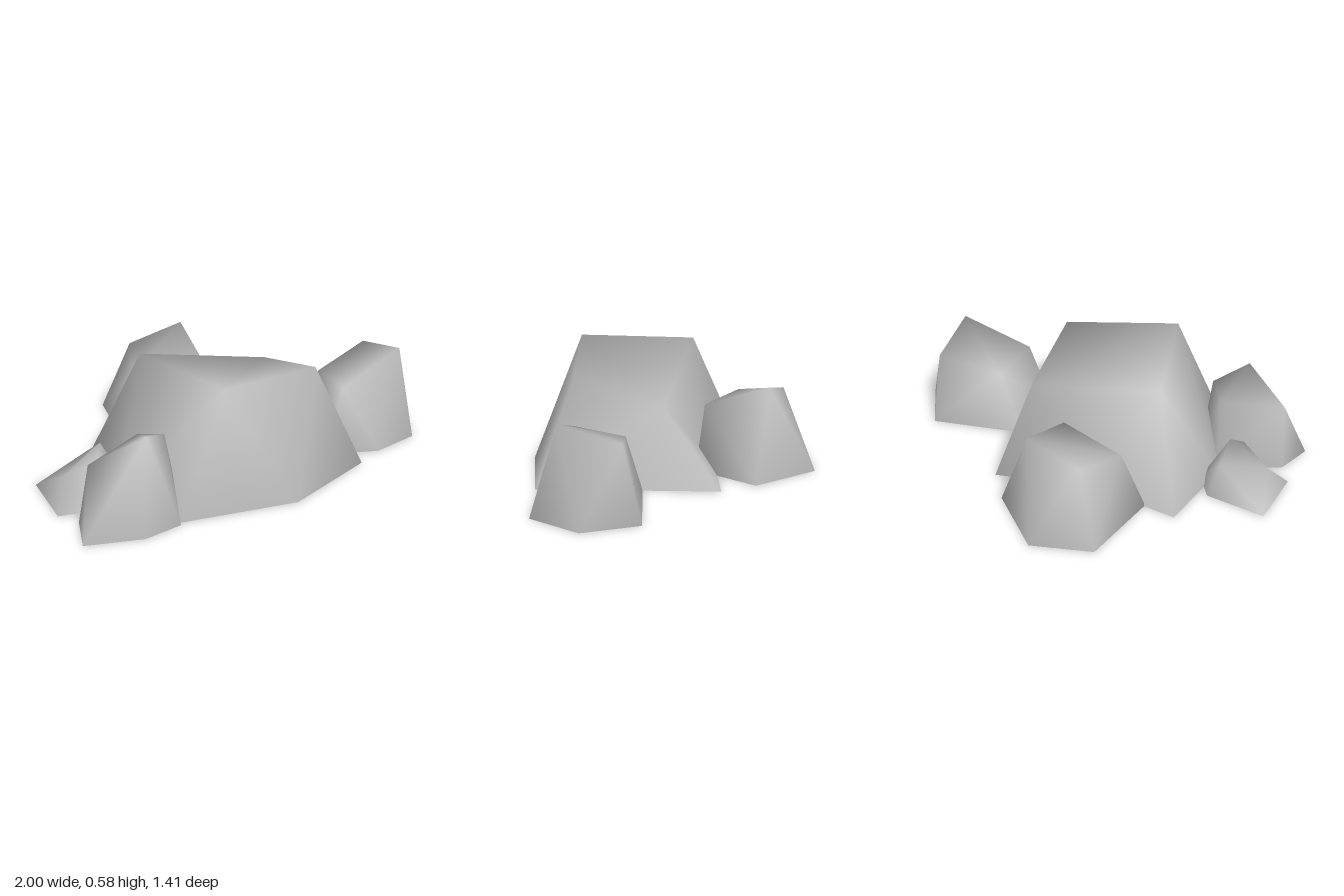
import * as THREE from 'three';

// Each boulder: ground outline [x, z] and top corners [x, y, z].
// The first top corner is where the crown's facets meet.
const ROCKS = {
  mainBoulder: {
    base: [[-0.57, -0.25], [-0.1, -0.19], [0.36, -0.3], [0.48, 0.57], [0.01, 0.705], [-0.55, 0.57], [-0.65, 0.17]],
    top: [[-0.28, 0.58, 0.52], [-0.4, 0.56, -0.04], [0.29, 0.38, -0.01], [0.29, 0.505, 0.42]],
  },
  leftBoulder: {
    base: [[0.4, 0.07], [0.86, -0.02], [0.995, 0.23], [0.86, 0.49], [0.62, 0.52], [0.38, 0.41]],
    top: [[0.85, 0.44, 0.355], [0.49, 0.325, 0.38], [0.53, 0.3, 0.12], [0.85, 0.365, 0.065]],
  },
  backBoulder: {
    base: [[-0.32, -0.63], [-0.02, -0.71], [0.25, -0.45], [0.07, -0.13], [-0.41, -0.22]],
    top: [[0.08, 0.44, -0.49], [0.04, 0.33, -0.17], [-0.31, 0.32, -0.29], [-0.2, 0.37, -0.53]],
  },
  rightFrontBoulder: {
    base: [[-0.93, 0.33], [-0.63, 0.21], [-0.47, 0.44], [-0.55, 0.59], [-0.74, 0.605], [-1, 0.51]],
    top: [[-0.67, 0.45, 0.51], [-0.9, 0.32, 0.39], [-0.6, 0.34, 0.29], [-0.52, 0.37, 0.4]],
  },
  rightPebble: {
    base: [[-0.96, -0.07], [-0.66, -0.03], [-0.58, 0.1], [-0.7, 0.27], [-0.82, 0.28], [-0.99, 0.235]],
    top: [[-0.71, 0.25, 0.13], [-0.76, 0.2, 0.2], [-0.91, 0.13, 0.13], [-0.7, 0.17, 0.02]],
  },
};

// Stitches the ground ring to the top ring by angle, then fans the crown.
function rockGeometry({ base, top }) {
  const cx = top.reduce((s, p) => s + p[0], 0) / top.length;
  const cz = top.reduce((s, p) => s + p[2], 0) / top.length;
  const points = [...base.map(([x, z]) => [x, 0, z]), ...top];
  const angle = (k) => Math.atan2(points[k][2] - cz, points[k][0] - cx);
  const ring = (start, count) =>
    Array.from({ length: count }, (_, k) => start + k).sort((a, b) => angle(a) - angle(b));
  const lower = ring(0, base.length);
  const upper = ring(base.length, top.length);
  const at = (r, k) => r[k % r.length];
  const unwrapped = (r, k) => angle(at(r, k)) + 2 * Math.PI * Math.floor(k / r.length);
  const middle = (r, k) => unwrapped(r, k) + unwrapped(r, k + 1);

  const index = [];
  let i = 0, j = 0;
  while (i < lower.length || j < upper.length) {
    const stepLower = j >= upper.length || (i < lower.length && middle(lower, i) < middle(upper, j));
    if (stepLower) {
      index.push(at(lower, i), at(upper, j), at(lower, i + 1));
      i++;
    } else {
      index.push(at(lower, i), at(upper, j), at(upper, j + 1));
      j++;
    }
  }
  const first = upper.indexOf(base.length);
  for (let k = 1; k < upper.length - 1; k++) {
    index.push(at(upper, first), at(upper, first + k + 1), at(upper, first + k));
  }

  const geometry = new THREE.BufferGeometry();
  geometry.setAttribute('position', new THREE.Float32BufferAttribute(points.flat(), 3));
  geometry.setIndex(index);
  geometry.computeVertexNormals();
  return geometry;
}

export function createModel() {
  const group = new THREE.Group();
  group.name = 'boulderCluster';
  // Open underneath, so both sides show
  const stone = new THREE.MeshStandardMaterial({ color: 0xb4b4b4, side: THREE.DoubleSide });
  stone.name = 'stoneGrey';
  for (const [name, rock] of Object.entries(ROCKS)) {
    const mesh = new THREE.Mesh(rockGeometry(rock), stone);
    mesh.name = name;
    group.add(mesh);
  }
  return group;
}
